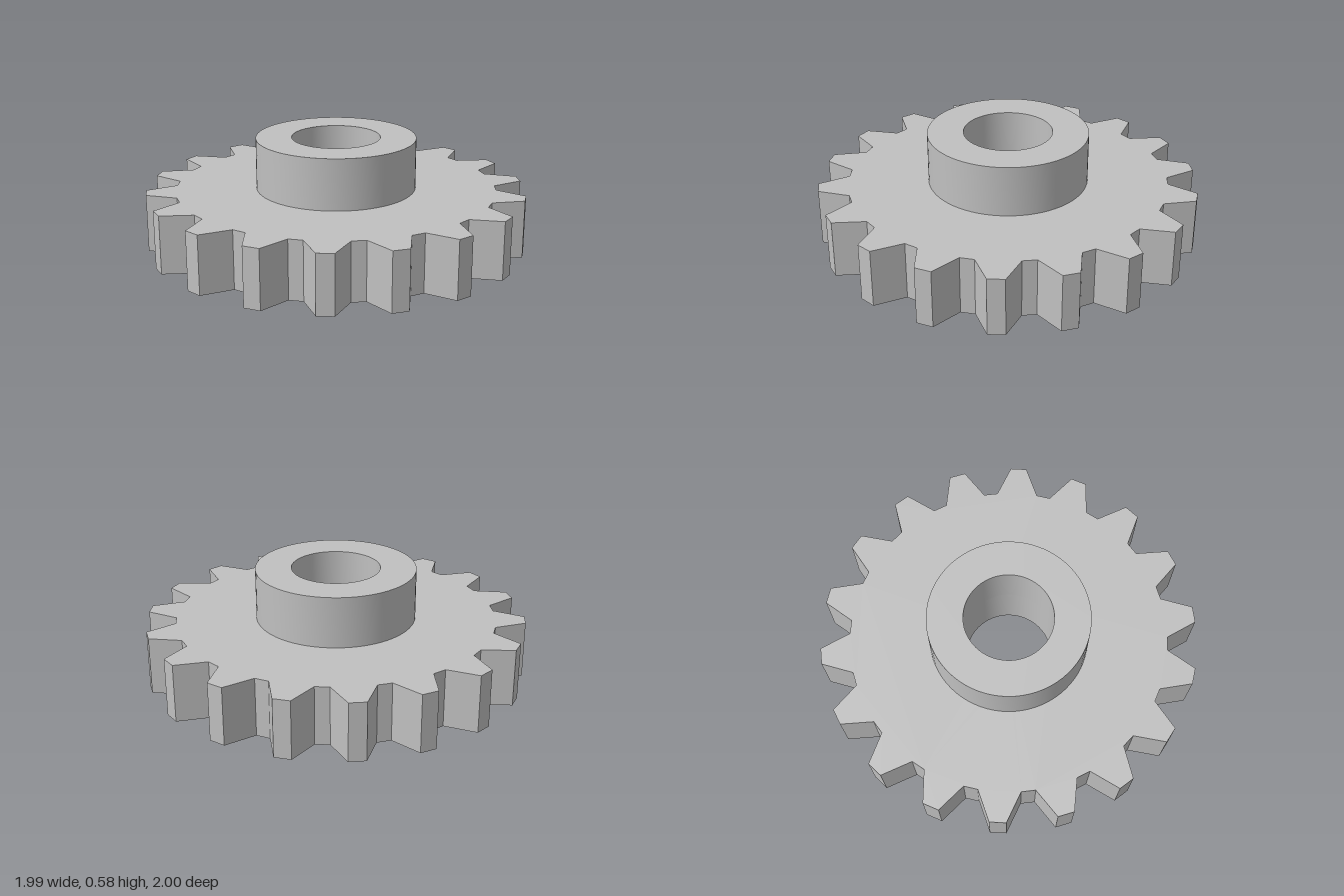
import * as THREE from 'three';
import { toCreasedNormals } from 'three/addons/utils/BufferGeometryUtils.js';

const TEETH = 18;
const TIP_RADIUS = 1;
const ROOT_RADIUS = 0.845;
const HUB_RADIUS = 0.422;
const BORE_RADIUS = 0.233;
const GEAR_HEIGHT = 0.307;
const TOTAL_HEIGHT = 0.577;

// Extrude an outline with the central bore upwards from a given height
function boredPlate(name, shape, bottom, top, material) {
  const bore = new THREE.Path();
  bore.absarc(0, 0, BORE_RADIUS, 0, Math.PI * 2, true);
  shape.holes.push(bore);
  const extruded = new THREE.ExtrudeGeometry(shape, {
    depth: top - bottom, bevelEnabled: false, curveSegments: 36,
  });
  extruded.rotateX(-Math.PI / 2);
  extruded.translate(0, bottom, 0);
  const mesh = new THREE.Mesh(toCreasedNormals(extruded, 0.3), material);
  mesh.name = name;
  return mesh;
}

// Each tooth has a flat tip, a slanted flank, a flat root and another flank
function gearOutline() {
  const points = [];
  const step = (Math.PI * 2) / (TEETH * 4);
  for (let i = 0; i < TEETH * 4; i++) {
    const radius = i % 4 < 2 ? TIP_RADIUS : ROOT_RADIUS;
    points.push(new THREE.Vector2(Math.sin(i * step) * radius, Math.cos(i * step) * radius));
  }
  return new THREE.Shape(points.reverse());
}

export function createModel() {
  const group = new THREE.Group();
  group.name = 'spurGear';

  const steel = new THREE.MeshStandardMaterial({ color: 0xc0c0c0 });
  steel.name = 'steelGrey';

  // Toothed wheel
  group.add(boredPlate('toothedWheel', gearOutline(), 0, GEAR_HEIGHT, steel));

  // Raised hub collar
  const collar = new THREE.Shape();
  collar.absarc(0, 0, HUB_RADIUS, 0, Math.PI * 2, false);
  group.add(boredPlate('hubCollar', collar, GEAR_HEIGHT, TOTAL_HEIGHT, steel));

  return group;
}
